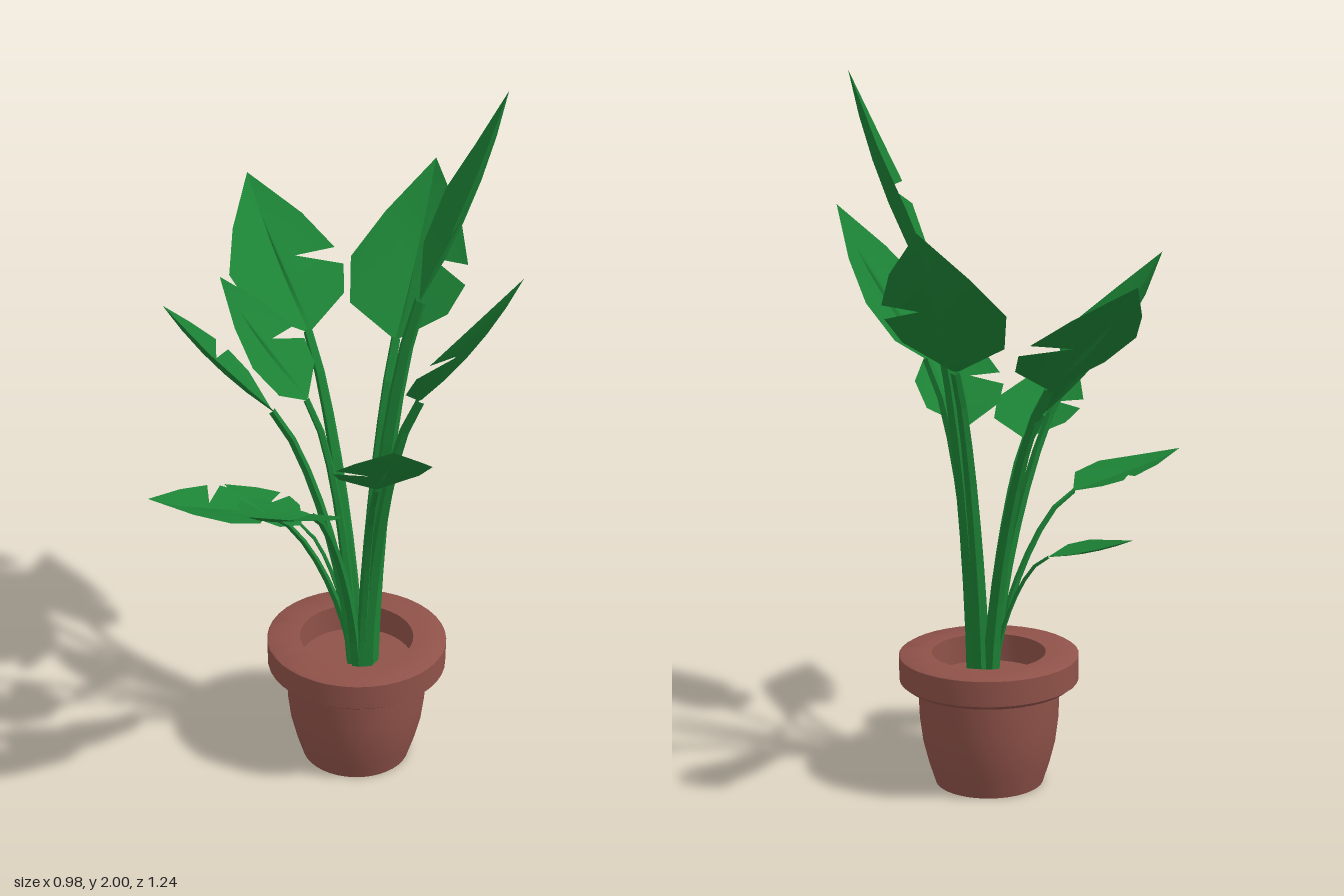
import * as THREE from 'three';
import { toCreasedNormals } from 'three/addons/utils/BufferGeometryUtils.js';

const leafGreen = new THREE.MeshStandardMaterial({ color: 0x1c8235, side: THREE.DoubleSide });
const stalkGreen = new THREE.MeshStandardMaterial({ color: 0x1c8235, flatShading: true });
const clay = new THREE.MeshStandardMaterial({ color: 0x8f5249 });
const CENTER = new THREE.Vector3(0.095, 0.3, 0.125);

// Half-blade outlines as [width, distance along midrib], for a leaf of length 1
const midrib = [[0, 1], [0, 0.8], [0, 0.6], [0, 0.4], [0, 0.2], [0, 0]];
const leftHalf = [[-0.02, 0], [-0.275, 0.14], [-0.33, 0.39], [-0.205, 0.67], ...midrib];
const rightHalf = [[0.02, 0], [0.26, 0.16], [0.32, 0.33], [0.095, 0.46], [0.31, 0.44], [0.21, 0.69], ...midrib];

// Leaf base and tip positions
const leaves = [
  { base: [0.09, 1.19, -0.21], tip: [0.09, 1.515, -0.62] },
  { base: [0.0, 1.08, -0.03], tip: [-0.16, 1.39, -0.24] },
  { base: [0.26, 1.22, -0.01], tip: [0.49, 1.63, -0.23] },
  { base: [-0.16, 1.14, 0.095], tip: [-0.44, 1.48, 0.05] },
  { base: [-0.17, 0.82, 0.08], tip: [-0.49, 0.915, 0.025] },
  { base: [-0.145, 0.93, 0.305], tip: [-0.425, 1.11, 0.535] },
  { base: [0.03, 0.98, 0.34], tip: [-0.065, 1.245, 0.615] },
  { base: [0.175, 1.195, 0.305], tip: [0.325, 1.61, 0.545] },
  { base: [0.23, 1.42, 0.185], tip: [0.412, 2.0, 0.285] },
  { base: [-0.01, 0.68, -0.045], tip: [-0.16, 0.75, -0.235] },
];

// Half blade: sagging midrib, edge folded up, placed from base to tip
function bladeHalf(outline, base, tip) {
  const forward = tip.clone().sub(base);
  const length = forward.length();
  forward.normalize();
  const side = new THREE.Vector3().crossVectors(forward, new THREE.Vector3(0, 1, 0)).normalize();
  const normal = new THREE.Vector3().crossVectors(side, forward);
  const shape = new THREE.Shape(outline.map(([w, t]) => new THREE.Vector2(w, t)));
  const geometry = new THREE.ShapeGeometry(shape);
  const pos = geometry.attributes.position;
  for (let i = 0; i < pos.count; i++) {
    const w = pos.getX(i), t = pos.getY(i);
    pos.setZ(i, 0.24 * Math.abs(w) - 0.16 * t * (1 - t));
  }
  geometry.scale(length, length, length);
  geometry.applyMatrix4(new THREE.Matrix4().makeBasis(side, forward, normal).setPosition(base));
  geometry.computeVertexNormals();
  return geometry;
}

// Tapered stalk rising from the soil and bending into the line of the leaf
function stalk(base, tip) {
  const blade = tip.clone().sub(base);
  const radius = 0.065 * blade.length() ** 1.5;
  const outward = base.clone().sub(CENTER).setY(0).normalize();
  const start = CENTER.clone().addScaledVector(outward, 0.022);
  const reach = base.clone().sub(start);
  const rise = start.clone().add(reach.multiply(new THREE.Vector3(0.1, 0.4, 0.1)));
  const bend = base.clone().addScaledVector(blade, -0.3);
  const curve = new THREE.CubicBezierCurve3(start, rise, bend, base);
  const steps = 8, sides = 5;
  const geometry = new THREE.TubeGeometry(curve, steps, radius, sides);
  const pos = geometry.attributes.position;
  const p = new THREE.Vector3();
  for (let i = 0; i < pos.count; i++) {
    const u = Math.floor(i / (sides + 1)) / steps;
    const mid = curve.getPointAt(u);
    p.fromBufferAttribute(pos, i).sub(mid).multiplyScalar(1 - 0.45 * u).add(mid);
    pos.setXYZ(i, p.x, p.y, p.z);
  }
  return geometry;
}

function addMesh(parent, name, geometry, material) {
  const mesh = new THREE.Mesh(geometry, material);
  mesh.name = name;
  parent.add(mesh);
  return mesh;
}

export function createModel() {
  const model = new THREE.Group();
  model.name = 'pottedPlant';

  // Pot: curved body, heavy rim, hollow mouth
  const wall = [[0, 0], [0.153, 0], [0.172, 0.06], [0.187, 0.12], [0.196, 0.19], [0.2, 0.288],
    [0.235, 0.29], [0.252, 0.303], [0.253, 0.375], [0.245, 0.38], [0.16, 0.38], [0.16, 0.3], [0, 0.3]];
  const potGeometry = new THREE.LatheGeometry(wall.map(([r, y]) => new THREE.Vector2(r, y)), 40);
  addMesh(model, 'pot', toCreasedNormals(potGeometry, 0.6), clay).position.set(0.088, 0, 0.117);

  // Leaves, each with its own stalk
  leaves.forEach((leaf, i) => {
    const base = new THREE.Vector3(...leaf.base);
    const tip = new THREE.Vector3(...leaf.tip);
    const group = new THREE.Group();
    group.name = `leaf${i + 1}`;
    addMesh(group, 'stalk', stalk(base, tip), stalkGreen);
    addMesh(group, 'bladeLeftHalf', bladeHalf(leftHalf, base, tip), leafGreen);
    addMesh(group, 'bladeRightHalf', bladeHalf(rightHalf, base, tip), leafGreen);
    model.add(group);
  });
  return model;
}
